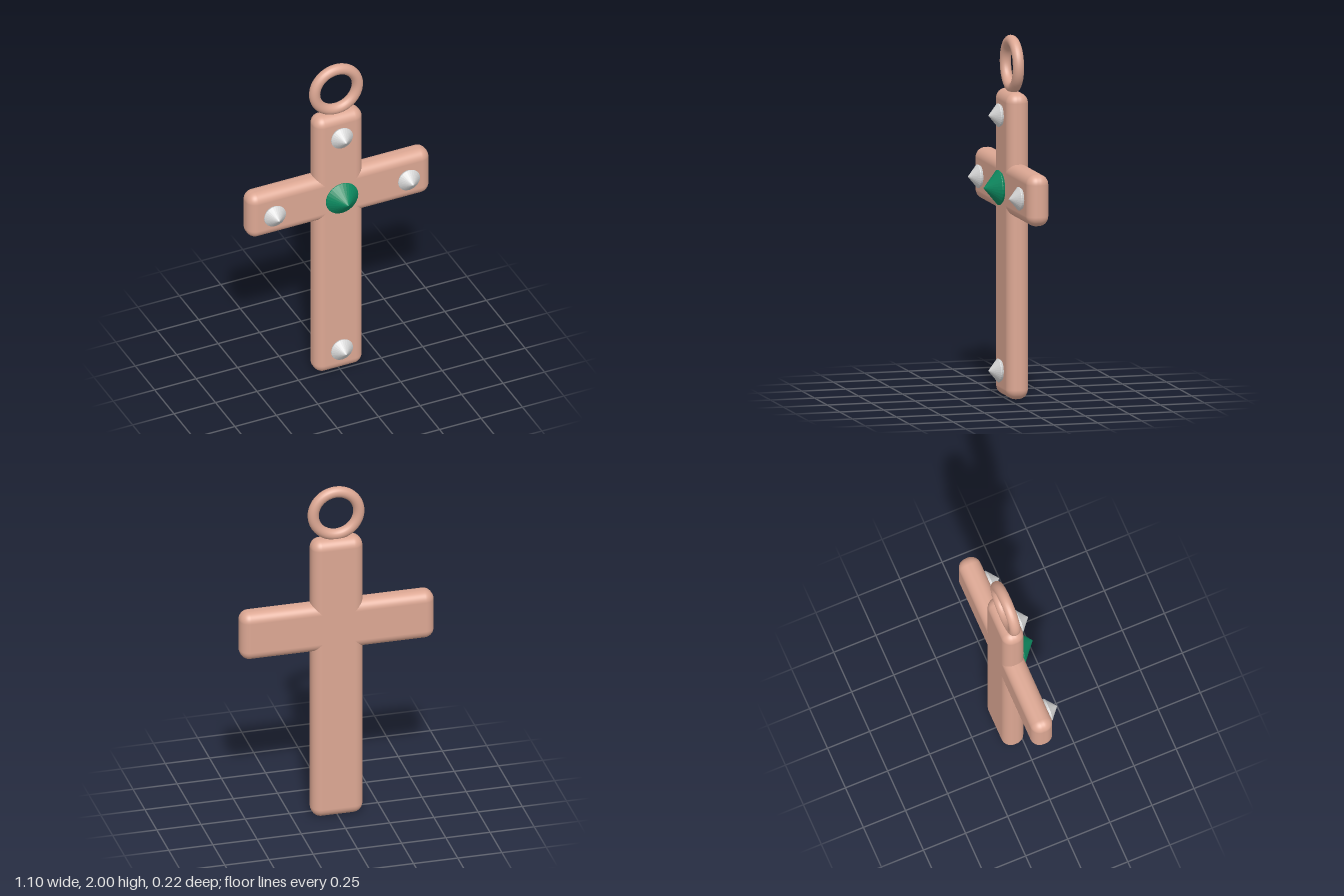
import * as THREE from 'three';
import { RoundedBoxGeometry } from 'three/addons/geometries/RoundedBoxGeometry.js';

function material(name, color) {
  const m = new THREE.MeshStandardMaterial({ color });
  m.name = name;
  return m;
}

export function createModel() {
  const group = new THREE.Group();
  group.name = 'crossPendant';
  const roseGold = material('rose gold', 0xdca793);
  const emerald = material('emerald green', 0x0d8a60);
  const crystal = material('clear crystal', 0xd6d6d6);
  const bodyZ = -0.05;

  function add(name, geometry, mat, x, y, z) {
    const mesh = new THREE.Mesh(geometry, mat);
    mesh.name = name;
    mesh.position.set(x, y, z);
    group.add(mesh);
    return mesh;
  }

  // Two crossing soft-edged bars
  add('uprightBar', new RoundedBoxGeometry(0.29, 1.695, 0.125, 6, 0.055), roseGold, 0, 0.8475, bodyZ);
  add('crossBar', new RoundedBoxGeometry(1.096, 0.286, 0.125, 6, 0.055), roseGold, 0, 1.162, bodyZ);

  // Hanging ring
  add('hangingRing', new THREE.TorusGeometry(0.129, 0.031, 20, 64), roseGold, 0, 1.84, bodyZ);

  // Pointed gems: bevelled base, wide girdle, tip facing forward
  function gem(name, mat, radius, tip, x, y) {
    const profile = [[0, 0.005], [radius * 0.8, 0.005], [radius, 0.026], [radius, 0.03], [0, tip]]
      .map(([r, h]) => new THREE.Vector2(r, h));
    const geometry = new THREE.LatheGeometry(profile, 28).toNonIndexed();
    geometry.computeVertexNormals();
    geometry.rotateX(Math.PI / 2);
    add(name, geometry, mat, x, y, 0);
  }
  gem('centreGem', emerald, 0.097, 0.112, 0, 1.16);
  gem('topGem', crystal, 0.065, 0.085, 0, 1.56);
  gem('bottomGem', crystal, 0.065, 0.085, 0, 0.148);
  gem('leftGem', crystal, 0.065, 0.085, 0.404, 1.16);
  gem('rightGem', crystal, 0.065, 0.085, -0.404, 1.16);

  return group;
}
